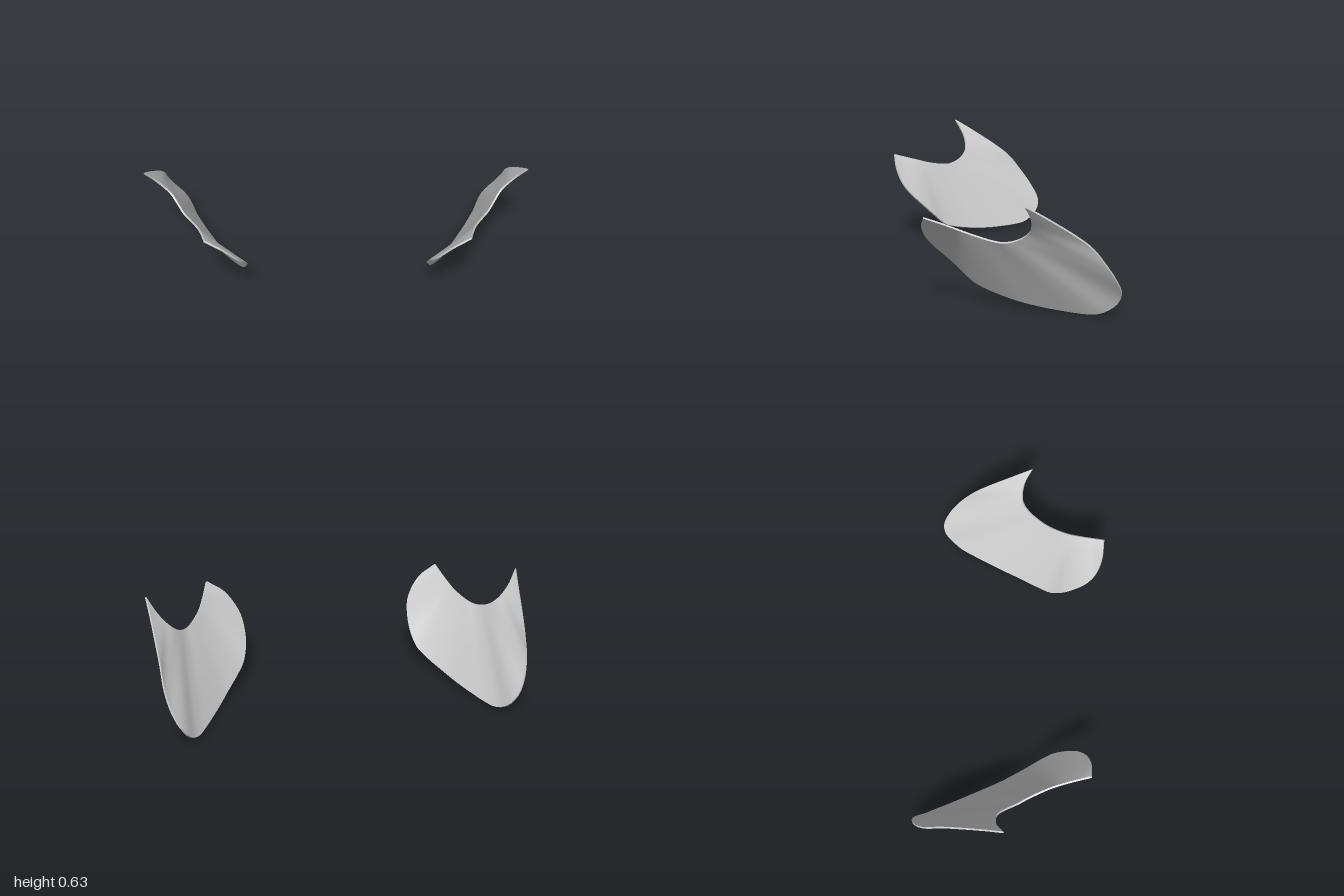
import * as THREE from 'three';
import { mergeGeometries } from 'three/addons/utils/BufferGeometryUtils.js';

const curve = (pts) => {
  const c = new THREE.CatmullRomCurve3(pts.map((p) => new THREE.Vector3(...p)), false, 'centripetal');
  c.arcLengthDivisions = 600;
  return c;
};

// Notched upper edge, from the front tip to the top tip
const notchEdge = curve([
  [0.66, 0.5, 0.457], [0.69, 0.46, 0.34], [0.72, 0.428, 0.25], [0.77, 0.402, 0.15],
  [0.802, 0.4, 0.1], [0.84, 0.422, 0.04], [0.875, 0.46, 0.002], [0.91, 0.5, -0.005],
  [0.95, 0.553, 0.006], [0.995, 0.625, 0.043],
]);

// Outer rim, from the front tip down, under, and up the back to the top tip
const rimEdge = curve([
  [0.66, 0.5, 0.457], [0.57, 0.435, 0.455], [0.515, 0.365, 0.43], [0.485, 0.31, 0.39],
  [0.472, 0.24, 0.32], [0.475, 0.18, 0.26], [0.5, 0.11, 0.19], [0.535, 0.08, 0.13],
  [0.61, 0.04, 0], [0.66, 0.021, -0.1], [0.71, 0.01, -0.2], [0.76, 0.004, -0.3],
  [0.785, 0.007, -0.35], [0.81, 0.022, -0.39], [0.84, 0.065, -0.44], [0.86, 0.1, -0.455],
  [0.885, 0.14, -0.454], [0.918, 0.21, -0.42], [0.942, 0.3, -0.36], [0.951, 0.39, -0.29],
  [0.96, 0.45, -0.22], [0.98, 0.56, -0.06], [0.995, 0.625, 0.043],
]);

const outward = new THREE.Vector3(0.73, -0.53, 0.44).normalize();
const HALF = 0.005;

// Point on the panel: u along the edges, v from notch to rim, w = -1 inside, +1 outside
function panelPoint(u, v, w) {
  return notchEdge.getPointAt(u).lerp(rimEdge.getPointAt(u), v).addScaledVector(outward, w * HALF);
}

// Grid surface from a point function, mirrored for the other side
function sheet(fn, nu, nv, side) {
  const pos = [], index = [];
  for (let i = 0; i <= nu; i++) {
    for (let j = 0; j <= nv; j++) {
      const p = fn(i / nu, j / nv);
      pos.push(p.x * side, p.y, p.z);
    }
  }
  for (let i = 0; i < nu; i++) {
    for (let j = 0; j < nv; j++) {
      const a = i * (nv + 1) + j, b = a + nv + 1, c = a + 1, d = b + 1;
      if (side > 0) index.push(a, b, c, b, d, c);
      else index.push(a, c, b, b, c, d);
    }
  }
  const g = new THREE.BufferGeometry();
  g.setAttribute('position', new THREE.Float32BufferAttribute(pos, 3));
  g.setIndex(index);
  g.computeVertexNormals();
  return g;
}

function panelGeometry(side) {
  return mergeGeometries([
    sheet((u, v) => panelPoint(u, v, -1), 72, 10, side),        // inner face
    sheet((u, v) => panelPoint(u, 1 - v, 1), 72, 10, side),     // outer face
    sheet((u, w) => panelPoint(u, 0, 1 - 2 * w), 72, 1, side),  // notch edge
    sheet((u, w) => panelPoint(u, 1, 2 * w - 1), 72, 1, side),  // rim edge
  ]);
}

export function createModel() {
  const group = new THREE.Group();
  group.name = 'curvedPanels';
  const grey = new THREE.MeshStandardMaterial({ color: 0xcccccc });
  grey.name = 'light grey';
  for (const [name, side] of [['leftPanel', 1], ['rightPanel', -1]]) {
    const mesh = new THREE.Mesh(panelGeometry(side), grey);
    mesh.name = name;
    group.add(mesh);
  }
  return group;
}
